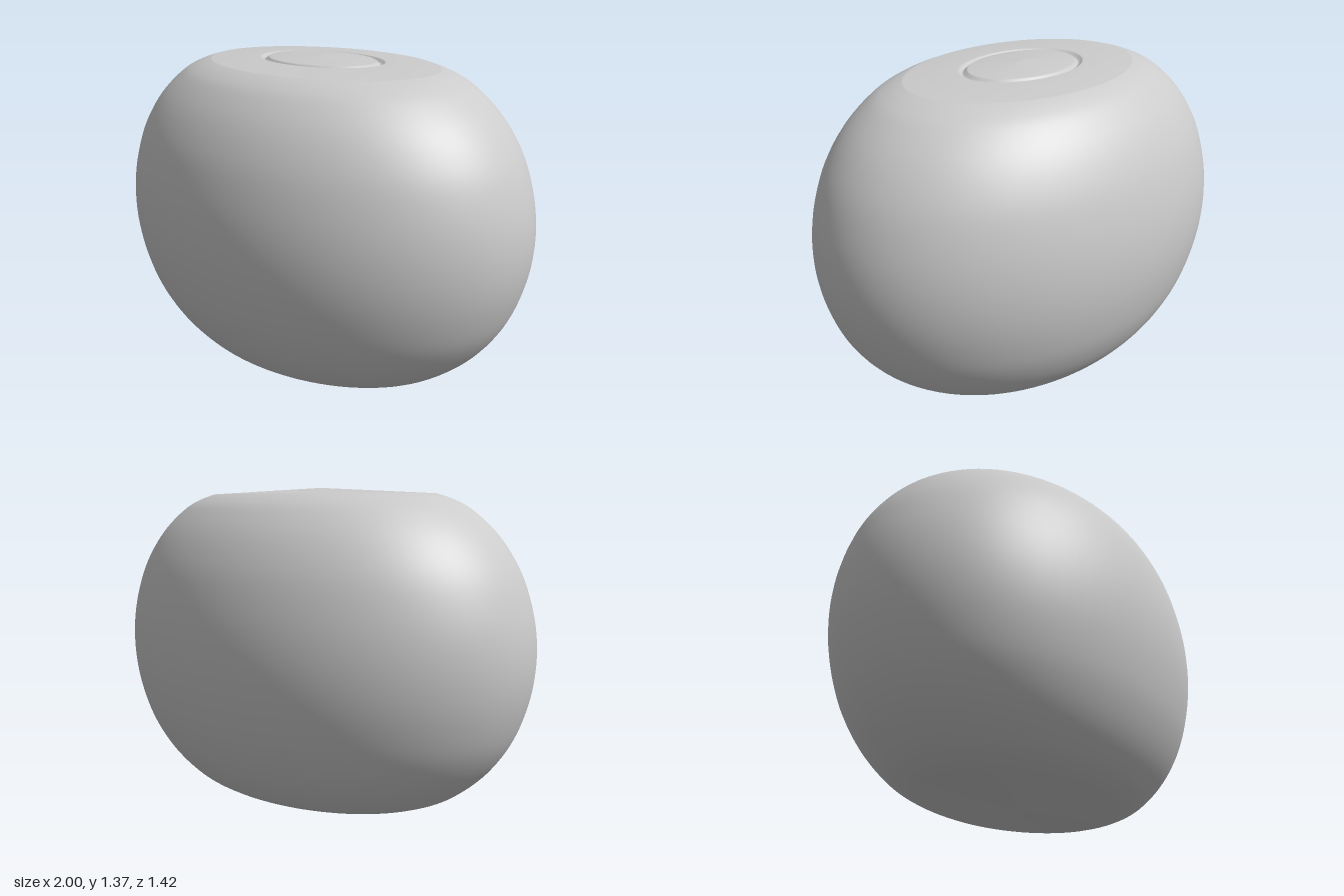
import * as THREE from 'three';

const HALF_HEIGHT = 0.685;
const DEPTH = 0.71; // z radius relative to the x radius of 1

export function createModel() {
  const group = new THREE.Group();
  const material = new THREE.MeshStandardMaterial({ color: 0xcccccc, side: THREE.DoubleSide });

  // Bulging side: radius and height above the middle, mirrored for the lower half
  const upper = [[0.985, 0.15], [0.94, 0.3], [0.88, 0.413], [0.8, 0.512], [0.7, 0.595], [0.62, 0.635], [0.55, 0.657]];
  const lower = upper.map(([r, y]) => [r, -y]).reverse();
  const side = new THREE.SplineCurve(
    [...lower, [1, 0], ...upper].map(([r, y]) => new THREE.Vector2(r, y + HALF_HEIGHT)),
  ).getPoints(64);

  // Shallow conical top with a fine ring groove halfway to its tip
  const coneY = (r) => 2 * HALF_HEIGHT - 0.028 * r / 0.55;
  const groove = [[0.42, 0], [0.305, 0], [0.296, 0.004], [0.285, 0.014], [0.276, 0.014], [0.265, 0.004], [0.256, 0], [0.14, 0]];
  const top = groove.map(([r, drop]) => new THREE.Vector2(r, coneY(r) - drop));

  const profile = [
    new THREE.Vector2(0, 0),
    ...side,
    ...top,
    new THREE.Vector2(0, 2 * HALF_HEIGHT),
  ];

  // Turned body, flattened from front to back into an oval
  const geometry = new THREE.LatheGeometry(profile, 96);
  geometry.scale(1, 1, DEPTH);
  const body = new THREE.Mesh(geometry, material);
  body.name = 'ovalBody';
  group.add(body);

  return group;
}
